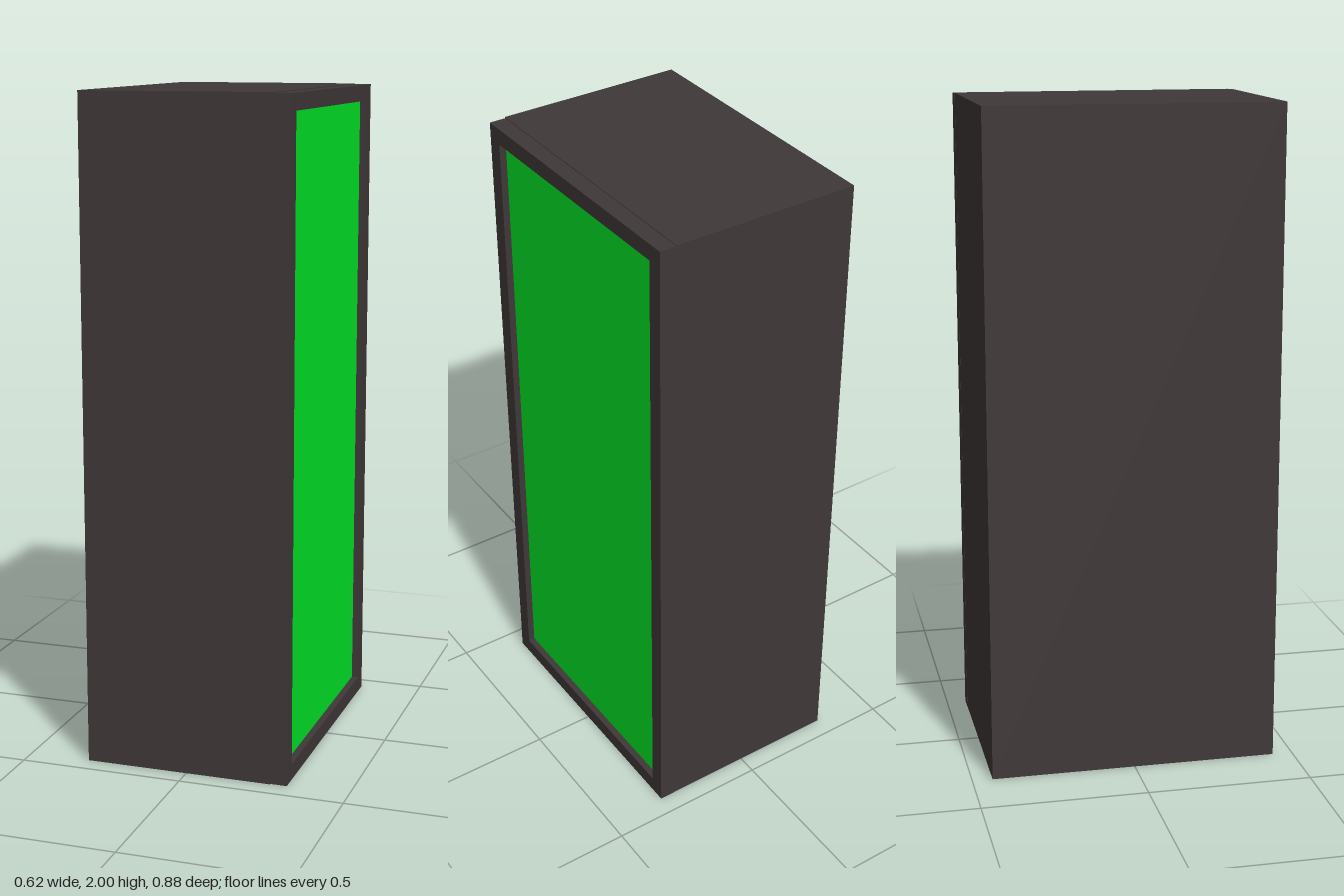
import * as THREE from 'three';

export function createModel() {
  const group = new THREE.Group();
  const casing = new THREE.MeshStandardMaterial({ color: 0x403838 });
  casing.name = 'dark casing';
  const green = new THREE.MeshStandardMaterial({ color: 0x00e828 });
  green.name = 'green panel';

  const add = (name, geometry, material, x, y, z) => {
    const mesh = new THREE.Mesh(geometry, material);
    mesh.name = name;
    mesh.position.set(x, y, z);
    group.add(mesh);
  };

  // Main cabinet block
  add('cabinetBody', new THREE.BoxGeometry(0.574, 2, 0.877), casing, -0.026, 1, 0);

  // Rectangular frame on the +x side, extruded outwards
  const rect = (path, w, h) => path
    .moveTo(-w / 2, -h / 2).lineTo(w / 2, -h / 2)
    .lineTo(w / 2, h / 2).lineTo(-w / 2, h / 2).closePath();
  const outline = new THREE.Shape();
  rect(outline, 0.874, 1.998);
  const opening = new THREE.Path();
  rect(opening, 0.776, 1.9);
  outline.holes.push(opening);
  const frameGeometry = new THREE.ExtrudeGeometry(outline, { depth: 0.051, bevelEnabled: false });
  frameGeometry.rotateY(Math.PI / 2);
  add('doorFrame', frameGeometry, casing, 0.261, 0.999, -0.002);

  // Recessed panel filling the frame
  add('doorPanel', new THREE.BoxGeometry(0.03, 1.9, 0.776), green, 0.276, 0.999, -0.002);

  return group;
}
